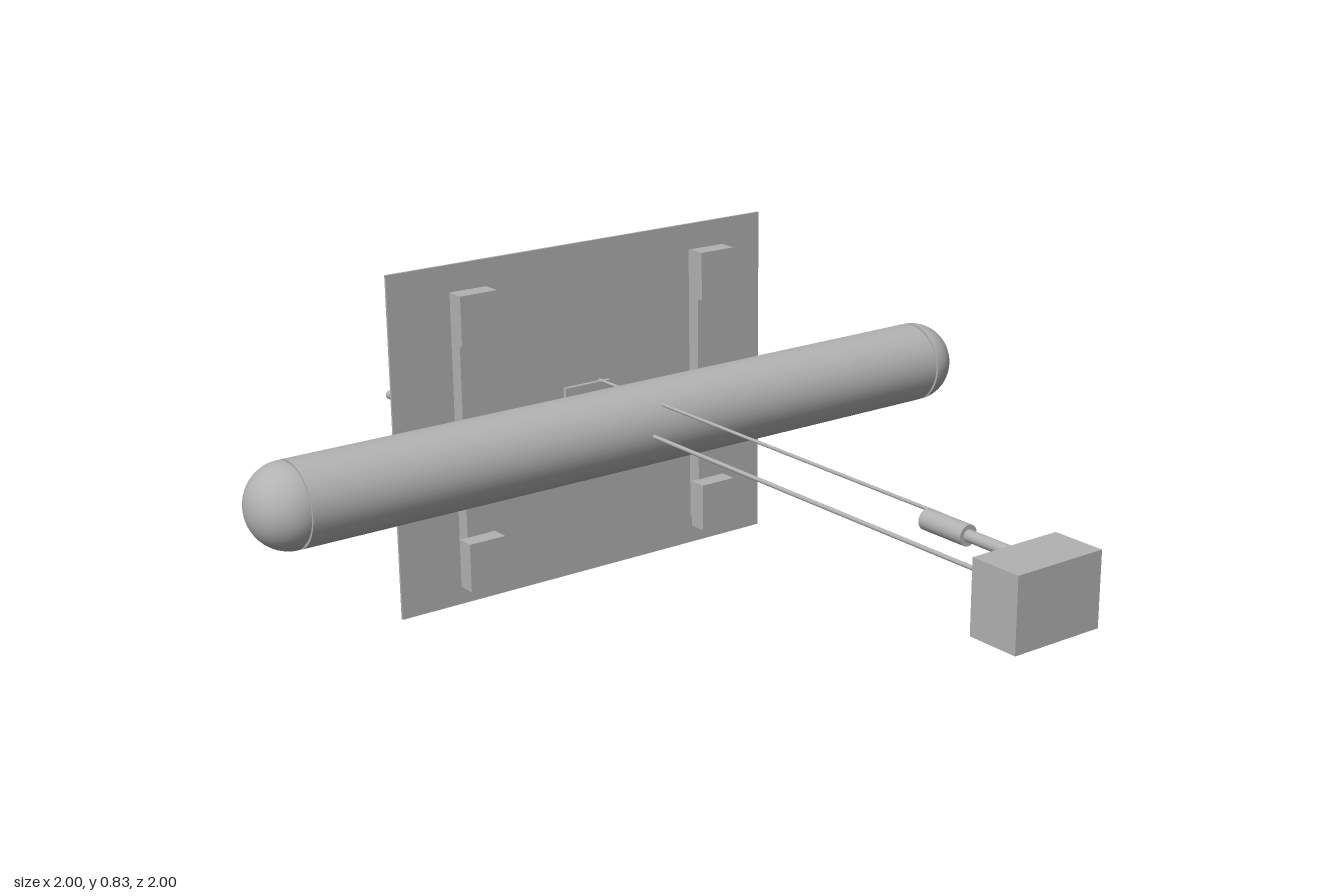
import * as THREE from 'three';

export function createModel() {
  const model = new THREE.Group();
  const grey = new THREE.MeshStandardMaterial({ color: 0xb2b2b2 });
  grey.name = 'plain grey';

  const add = (name, geometry, x, y, z) => {
    const mesh = new THREE.Mesh(geometry, grey);
    mesh.name = name;
    mesh.position.set(x, y, z);
    model.add(mesh);
    return mesh;
  };
  const box = (name, w, h, d, x, y, z) => add(name, new THREE.BoxGeometry(w, h, d), x, y, z);
  // cylinder along z between z0 and z1
  const rod = (name, r, x, y, z0, z1, sides = 24, rEnd = r) =>
    add(name, new THREE.CylinderGeometry(rEnd, r, Math.abs(z1 - z0), sides)
      .rotateX(z1 > z0 ? Math.PI / 2 : -Math.PI / 2), x, y, (z0 + z1) / 2);

  const midY = 0.42;

  // long float with separate domed ends
  add('tank', new THREE.CylinderGeometry(0.1, 0.1, 1.79, 48).rotateZ(Math.PI / 2), 0, midY, -0.42);
  add('tankCore', new THREE.CylinderGeometry(0.094, 0.094, 1.81, 48).rotateZ(Math.PI / 2), 0, midY, -0.42);
  for (const s of [-1, 1]) {
    const dome = new THREE.SphereGeometry(0.1, 40, 16, 0, Math.PI * 2, 0, Math.PI / 2)
      .scale(1, 0.95, 1).rotateZ(-s * Math.PI / 2);
    add('tankDome', dome, s * 0.903, midY, -0.42);
    add('domeBase', new THREE.CircleGeometry(0.1, 40).rotateY(-s * Math.PI / 2), s * 0.903, midY, -0.42);
  }

  // back plate with rails and pads
  box('backPlate', 1.07, 0.835, 0.006, 0, 0.4175, -0.605);
  for (const s of [-1, 1]) {
    box('rail', 0.056, 0.7, 0.037, s * 0.343, 0.42, -0.584);
    for (const y of [0.12, 0.72]) box('pad', 0.098, 0.12, 0.046, s * 0.343, y, -0.544);
  }
  box('rodBracket', 0.13, 0.13, 0.012, 0, midY, -0.597);
  rod('rodSocket', 0.018, 0, midY, -0.592, -0.563);

  // front box, its fittings and the two long rods
  box('frontBox', 0.226, 0.165, 0.125, 0, 0.4225, 0.9375);
  rod('lowerRod', 0.005, 0, midY, -0.57, 0.84, 12);
  rod('rodCollar', 0.019, 0, midY, 0.838, 0.876);
  rod('upperRod', 0.004, 0.042, 0.485, -0.603, 0.62, 12);
  rod('sleeve', 0.023, 0, 0.485, 0.622, 0.745);
  rod('sleeveStem', 0.013, 0, 0.485, 0.745, 0.876);

  // open drum on the back, profile as radius and depth
  const profile = [[0, 0.1], [0.115, 0.1], [0.115, 0.245], [0.126, 0.245], [0.126, 0.234],
    [0.132, 0.234], [0.132, 0.018], [0.15, 0.018], [0.15, 0], [0, 0]];
  for (let i = 0; i < profile.length - 1; i++) {
    const pair = [profile[i + 1], profile[i]].map(([r, d]) => new THREE.Vector2(r, d));
    add('drum', new THREE.LatheGeometry(pair, 48).rotateX(-Math.PI / 2), 0, midY, -0.605);
  }

  // grille behind the drum
  const tilt = -0.22;
  for (const s of [-1, 1]) {
    const y = midY + s * 0.078;
    box('grilleBar', 0.33, 0.022, 0.016, 0, y, -0.923);
    const arm = box('grilleArm', 0.018, 0.18, 0.016, 0, midY + (s > 0 ? 0.15 : -0.18), -0.912);
    arm.rotation.x = tilt;
    box('drumPost', 0.012, 0.02, 0.09, s * 0.11, midY, -0.87);
  }
  for (const x of [-0.11, 0, 0.11]) box('grilleUpright', 0.01, 0.156, 0.012, x, midY, -0.912);
  box('grilleCrossbar', 0.22, 0.014, 0.012, 0, midY, -0.907);
  rod('grilleHub', 0.01, 0, midY, -0.9, -0.94, 12);

  // long probe with swollen tip
  rod('probeCollar', 0.026, -0.318, midY, -0.605, -0.648);
  rod('probe', 0.011, -0.318, midY, -0.64, -0.925);
  rod('probeTip', 0.011, -0.318, midY, -0.915, -0.935, 24, 0.017);
  rod('probeTip', 0.017, -0.318, midY, -0.935, -0.965, 24, 0.011);
  rod('probeTip', 0.011, -0.318, midY, -0.965, -1);

  // button on a stem
  rod('buttonStem', 0.009, -0.24, 0.61, -0.605, -0.765);
  rod('button', 0.031, -0.24, 0.61, -0.762, -0.78);

  // thin pin
  rod('pinCollar', 0.019, 0.328, 0.118, -0.605, -0.626);
  rod('pin', 0.006, 0.328, 0.118, -0.62, -0.848, 12);

  return model;
}
